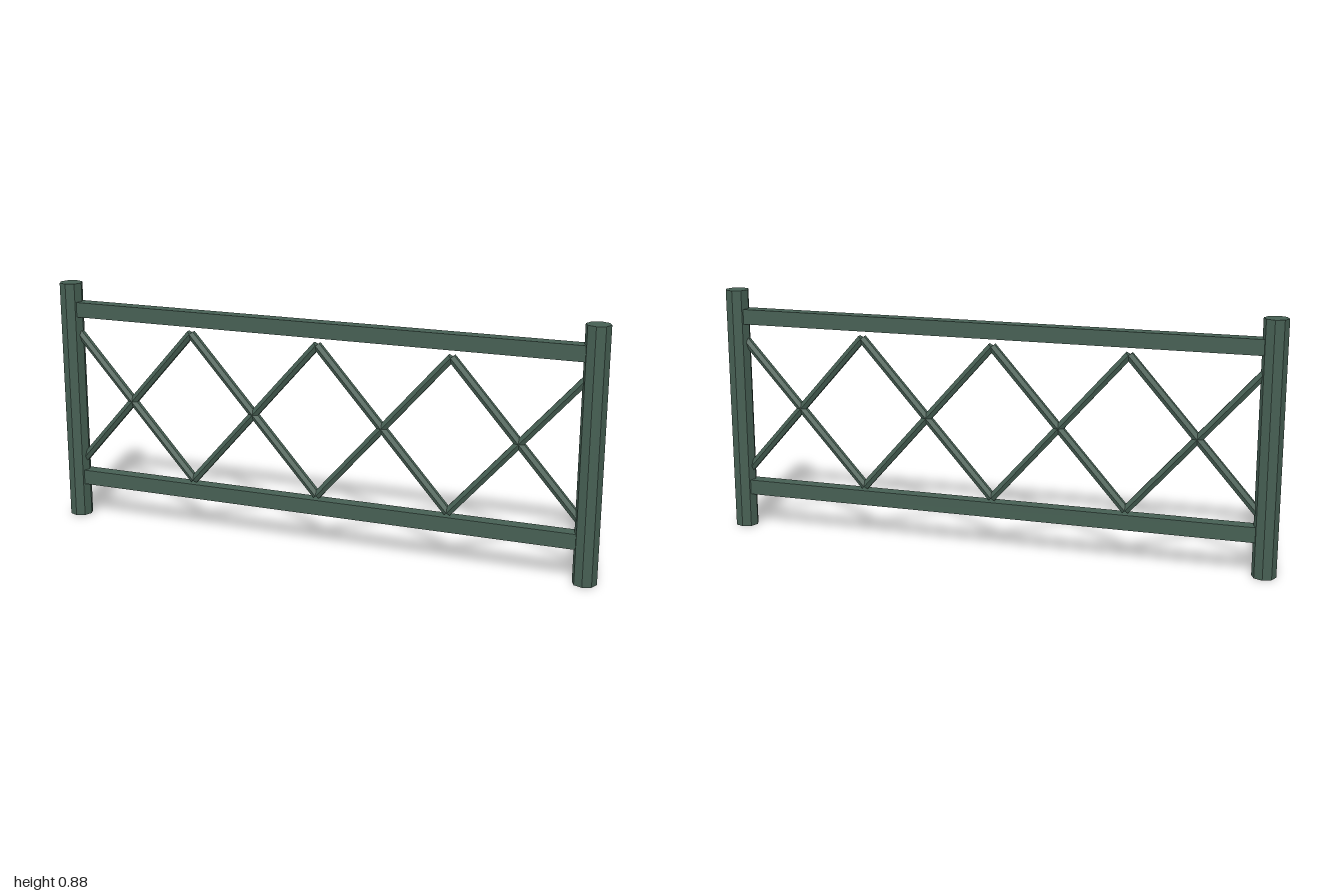
import * as THREE from 'three';

const POST_X = 0.958;
const POST_HEIGHT = 0.883;
const POST_RADIUS = 0.042;
const BAYS = 4;

export function createModel() {
  const model = new THREE.Group();
  model.name = 'fencePanel';
  const paint = new THREE.MeshStandardMaterial({ color: 0x465f53, flatShading: true });

  function add(name, geometry, x, y, z = 0) {
    const mesh = new THREE.Mesh(geometry, paint);
    mesh.name = name;
    mesh.position.set(x, y, z);
    model.add(mesh);
    return mesh;
  }

  // Octagonal end posts
  for (const [name, side] of [['leftPost', 1], ['rightPost', -1]]) {
    const post = new THREE.CylinderGeometry(POST_RADIUS, POST_RADIUS, POST_HEIGHT, 8);
    add(name, post, side * POST_X, POST_HEIGHT / 2);
  }

  // Horizontal rails running between the post centres
  for (const [name, y] of [['topRail', 0.788], ['bottomRail', 0.15]]) {
    add(name, new THREE.BoxGeometry(POST_X * 2, 0.054, 0.048), 0, y);
  }

  // Crossed braces, one X in each bay
  const bay = (POST_X * 2) / BAYS;
  const low = 0.189;
  const high = 0.732;
  const length = Math.hypot(bay, high - low);
  const lean = Math.atan2(bay, high - low);
  for (let i = 0; i < BAYS; i++) {
    const x = -POST_X + bay * (i + 0.5);
    for (const [name, side] of [['risingBrace', -1], ['fallingBrace', 1]]) {
      const bar = new THREE.CylinderGeometry(0.016, 0.016, length, 6);
      add(name + (i + 1), bar, x, (low + high) / 2).rotation.z = side * lean;
    }
  }

  return model;
}
